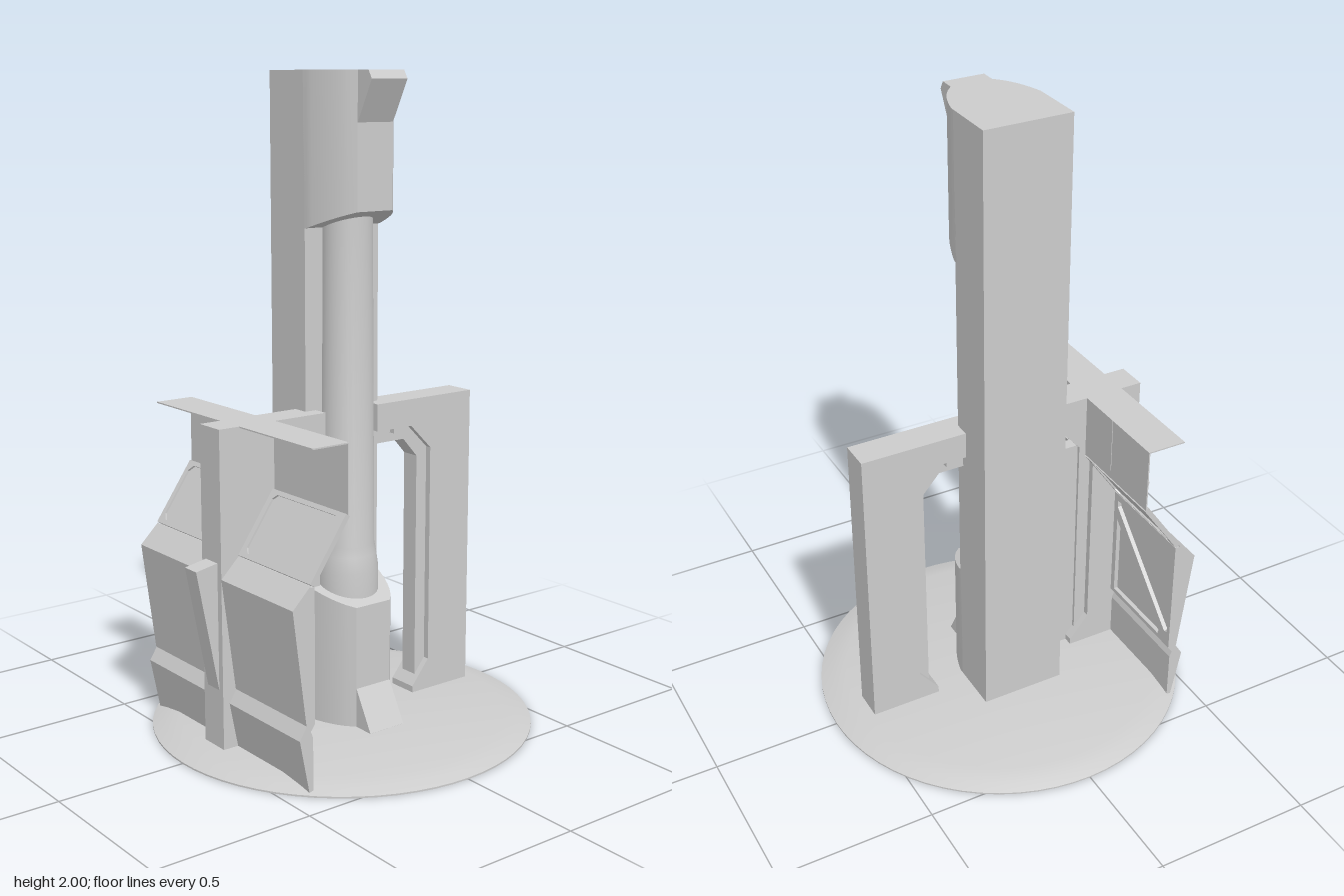
import * as THREE from 'three';
import { toCreasedNormals } from 'three/addons/utils/BufferGeometryUtils.js';

const grey = new THREE.MeshStandardMaterial({ color: 0xcccccc });
grey.name = 'paleGrey';
grey.side = THREE.DoubleSide;

function part(parent, name, geo) {
  const mesh = new THREE.Mesh(geo, grey);
  mesh.name = name;
  parent.add(mesh);
  return mesh;
}

const shapeOf = (pts) => new THREE.Shape(pts.map(([a, b]) => new THREE.Vector2(a, b)));

function extrude(shape, depth) {
  return new THREE.ExtrudeGeometry(shape, { depth, bevelEnabled: false, curveSegments: 8 });
}

// profile in x-y, running from z0 to z1
const alongZ = (pts, z0, z1) => extrude(shapeOf(pts), z1 - z0).translate(0, 0, z0);

// profile in z-y with holes, its +x face at x and its thickness towards -x
function alongX(pts, depth, x, holes = []) {
  const shape = shapeOf(pts);
  holes.forEach((h) => shape.holes.push(shapeOf(h)));
  return extrude(shape, depth).rotateY(-Math.PI / 2).translate(x, 0, 0);
}

// block of the column's rounded plan, with slanted ends
function columnBlock(bottom, top) {
  const s = new THREE.Shape();
  s.moveTo(-0.138, 0.005);
  s.lineTo(-0.138, -0.01);
  s.quadraticCurveTo(-0.12, -0.09, -0.085, -0.135);
  s.lineTo(-0.065, -0.157);
  s.lineTo(0.065, -0.157);
  s.lineTo(0.085, -0.135);
  s.quadraticCurveTo(0.12, -0.09, 0.138, -0.01);
  s.lineTo(0.138, 0.005);
  const geo = extrude(s, 1).rotateX(-Math.PI / 2);
  const p = geo.attributes.position;
  for (let i = 0; i < p.count; i++) {
    const z = Math.max(0, p.getZ(i));
    p.setY(i, p.getY(i) < 0.5 ? bottom(z) : top(z));
  }
  return toCreasedNormals(geo, 0.5);
}

function buildWing(side) {
  const wing = new THREE.Group();
  wing.name = side > 0 ? 'frontWing' : 'backWing';
  const z0 = side > 0 ? 0.05 : -0.4, z1 = z0 + 0.35;
  const m = (pts) => pts.map(([z, y]) => [side * z, y]);

  // thin roof, upright sheet and cross brace
  part(wing, 'roofSheet', new THREE.BoxGeometry(0.125, 0.004, 0.35)
    .translate(-0.3475, 0.998, side * 0.225));
  part(wing, 'upperSheet', new THREE.BoxGeometry(0.004, 0.21, 0.35)
    .translate(-0.287, 0.892, side * 0.225));
  part(wing, 'upperSeam', new THREE.BoxGeometry(0.004, 0.18, 0.003)
    .translate(-0.285, 0.91, side * 0.2));

  // sloping window frame and pane
  const slope = Math.atan2(0.125, 0.18), len = 0.219;
  const tilt = (g) => g.rotateZ(-slope).translate(-0.407, 0.61, 0);
  part(wing, 'windowFrame', tilt(alongX(
    m([[0.05, 0], [0.4, 0], [0.4, len], [0.05, len]]), 0.016, 0,
    [m([[0.07, 0.03], [0.085, 0.015], [0.365, 0.015], [0.383, 0.035],
      [0.383, 0.185], [0.365, 0.205], [0.085, 0.205], [0.07, 0.19]])])));
  part(wing, 'windowPane', tilt(new THREE.BoxGeometry(0.004, 0.2, 0.33)
    .translate(-0.008, 0.11, side * 0.225)));

  // braced inner panel in front of the outer slab
  part(wing, 'bracedPanel', alongX(
    m([[0.05, 0.21], [0.4, 0.21], [0.4, 0.61], [0.05, 0.61]]), 0.015, -0.405,
    [m([[0.07, 0.585], [0.37, 0.585], [0.385, 0.57], [0.385, 0.265], [0.37, 0.26], [0.07, 0.56]]),
      m([[0.07, 0.225], [0.335, 0.225], [0.34, 0.24], [0.07, 0.51]])]));
  part(wing, 'outerSlab', alongZ(
    [[-0.419, 0.615], [-0.48, 0.555], [-0.435, 0.21], [-0.419, 0.21]], z0, z1));
  part(wing, 'lowerSlab', alongZ(
    [[-0.405, 0.21], [-0.43, 0.215], [-0.458, 0.17], [-0.425, 0.005],
      [-0.412, 0.005], [-0.412, 0.17], [-0.42, 0.19]], z0, z1));
  return wing;
}

export function createModel() {
  const model = new THREE.Group();
  model.name = 'tower';

  // round base plate
  const base = [[0, 0], [0.595, 0], [0.595, 0.005], [0.56, 0.017], [0.512, 0.029], [0, 0.03]];
  part(model, 'basePlate', toCreasedNormals(new THREE.LatheGeometry(
    base.map(([r, y]) => new THREE.Vector2(r, y)), 64), 0.6));

  // column: back slab, cap, foot and pipe
  const column = new THREE.Group();
  column.name = 'column';
  model.add(column);
  part(column, 'backSlab', new THREE.BoxGeometry(0.276, 2, 0.17).translate(0, 1, -0.084));
  part(column, 'columnCap', columnBlock((z) => 1.545 + 0.35 * z, () => 2));
  part(column, 'columnFoot', columnBlock(() => 0.005, (z) => 0.46 - 0.31 * z));
  const pipe = [[0.097, 0.38], [0.097, 0.5], [0.09, 0.55], [0.084, 0.58], [0.076, 1.62]];
  part(column, 'pipe', toCreasedNormals(new THREE.LatheGeometry(
    pipe.map(([r, y]) => new THREE.Vector2(r, y)), 32), 0.6).translate(0, 0, 0.026));
  part(column, 'topLip', alongX(
    [[0.15, 1.84], [0.22, 1.975], [0.205, 2], [0.15, 2]], 0.13, 0.065));
  part(column, 'bottomLip', alongX(
    [[0.15, 0.165], [0.225, 0.03], [0.225, 0.01], [0.15, 0.01]], 0.13, 0.065));

  // gate: one half on each side of the column
  const gate = new THREE.Group();
  gate.name = 'gate';
  model.add(gate);
  for (const s of [1, -1]) {
    const m = (pts) => pts.map(([x, y]) => [s * x, y]);
    part(gate, 'gateWall', alongZ(m([[0.1, 1], [0.48, 1], [0.48, 0.005], [0.25, 0.005],
      [0.25, 0.05], [0.315, 0.13], [0.315, 0.835], [0.235, 0.915], [0.205, 0.915],
      [0.205, 0.9], [0.165, 0.9], [0.165, 0.915], [0.1, 0.915]]), -0.05, 0.05));
    part(gate, 'innerFrame', alongZ(m([[0.1, 0.93], [0.24, 0.93], [0.33, 0.84], [0.33, 0.01],
      [0.275, 0.01], [0.275, 0.81], [0.22, 0.872], [0.1, 0.872]]), -0.03, 0.03));
  }
  part(gate, 'doorPanel', alongZ([[-0.1, 0.01], [-0.3, 0.01], [-0.3, 0.78],
    [-0.27, 0.813], [-0.1, 0.813]], -0.02, 0.02));
  part(gate, 'outerFin', alongZ([[-0.47, 0.602], [-0.553, 0.587], [-0.478, 0.2],
    [-0.47, 0.2]], -0.03, 0.03));

  model.add(buildWing(1), buildWing(-1));
  return model;
}
